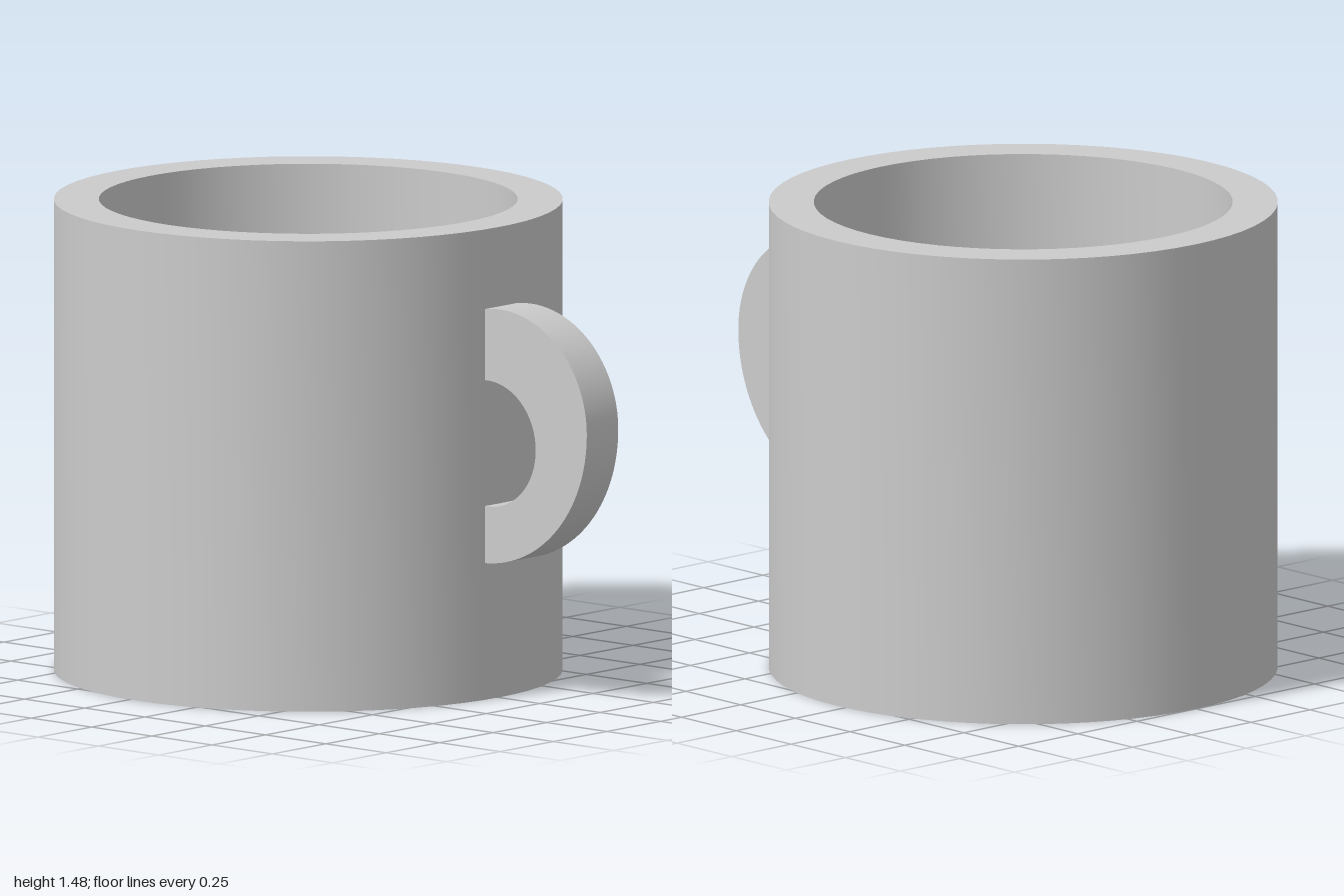
import * as THREE from 'three';
import { toCreasedNormals } from 'three/addons/utils/BufferGeometryUtils.js';

const HEIGHT = 1.48, OUTER = 0.79, INNER = 0.65, FLOOR = 0.14;
const CENTRE_X = -0.21;

function part(name, geometry, material) {
  const mesh = new THREE.Mesh(toCreasedNormals(geometry, 0.6), material);
  mesh.name = name;
  return mesh;
}

export function createModel() {
  const group = new THREE.Group();
  group.name = 'mug';
  const material = new THREE.MeshStandardMaterial({ color: 0xcccccc });

  // Thick-walled cup, turned from its half section
  const section = [
    [0, 0], [OUTER, 0], [OUTER, HEIGHT],
    [INNER, HEIGHT], [INNER, FLOOR], [0, FLOOR],
  ].map(([r, y]) => new THREE.Vector2(r, y));
  const cup = part('cup', new THREE.LatheGeometry(section, 64), material);
  cup.position.x = CENTRE_X;
  group.add(cup);

  // Flat ear-shaped handle whose ends are buried in the wall
  const ear = new THREE.Shape();
  ear.moveTo(0.5, 1.2);
  ear.absellipse(0.64, 0.88, 0.36, 0.355, 1.85, 0, true);
  ear.absellipse(0.56, 0.88, 0.44, 0.45, 0, -Math.PI / 2, true);
  ear.lineTo(0.5, 0.435);
  ear.lineTo(0.5, 0.61);
  ear.absarc(0.59, 0.808, 0.198, -Math.PI / 2, Math.PI / 2, false);
  ear.lineTo(0.5, 1.006);
  ear.closePath();
  const handle = part('handle', new THREE.ExtrudeGeometry(ear, {
    depth: 0.147, bevelEnabled: false, curveSegments: 24,
  }), material);
  handle.position.z = -0.085;
  group.add(handle);

  return group;
}
